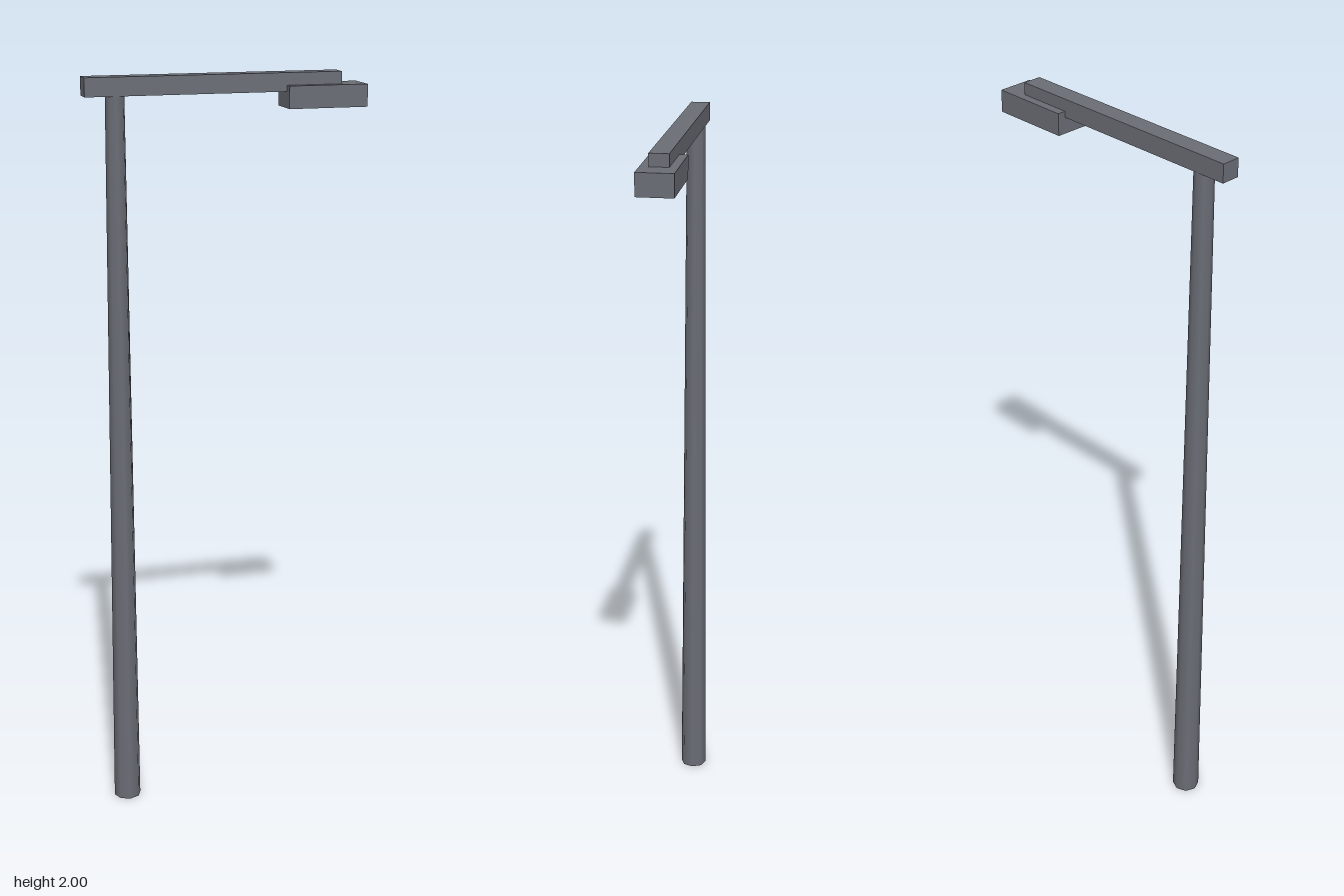
import * as THREE from 'three';

export function createModel() {
  const model = new THREE.Group();
  model.name = 'streetLamp';
  const metal = new THREE.MeshStandardMaterial({ color: 0x6a6d75 });

  const add = (name, geometry, x, y, z = 0) => {
    const mesh = new THREE.Mesh(geometry, metal);
    mesh.name = name;
    mesh.position.set(x, y, z);
    model.add(mesh);
  };

  // Tapered eight-sided pole, reaching the underside of the arm
  const poleHeight = 1.953;
  add('pole', new THREE.CylinderGeometry(0.025, 0.037, poleHeight, 8), -0.288, poleHeight / 2);

  // Horizontal arm along x
  add('arm', new THREE.BoxGeometry(0.676, 0.048, 0.05), -0.032, 1.976);

  // Lamp head, overlapping the end of the arm
  add('lampHead', new THREE.BoxGeometry(0.212, 0.058, 0.094), 0.264, 1.939);

  return model;
}
